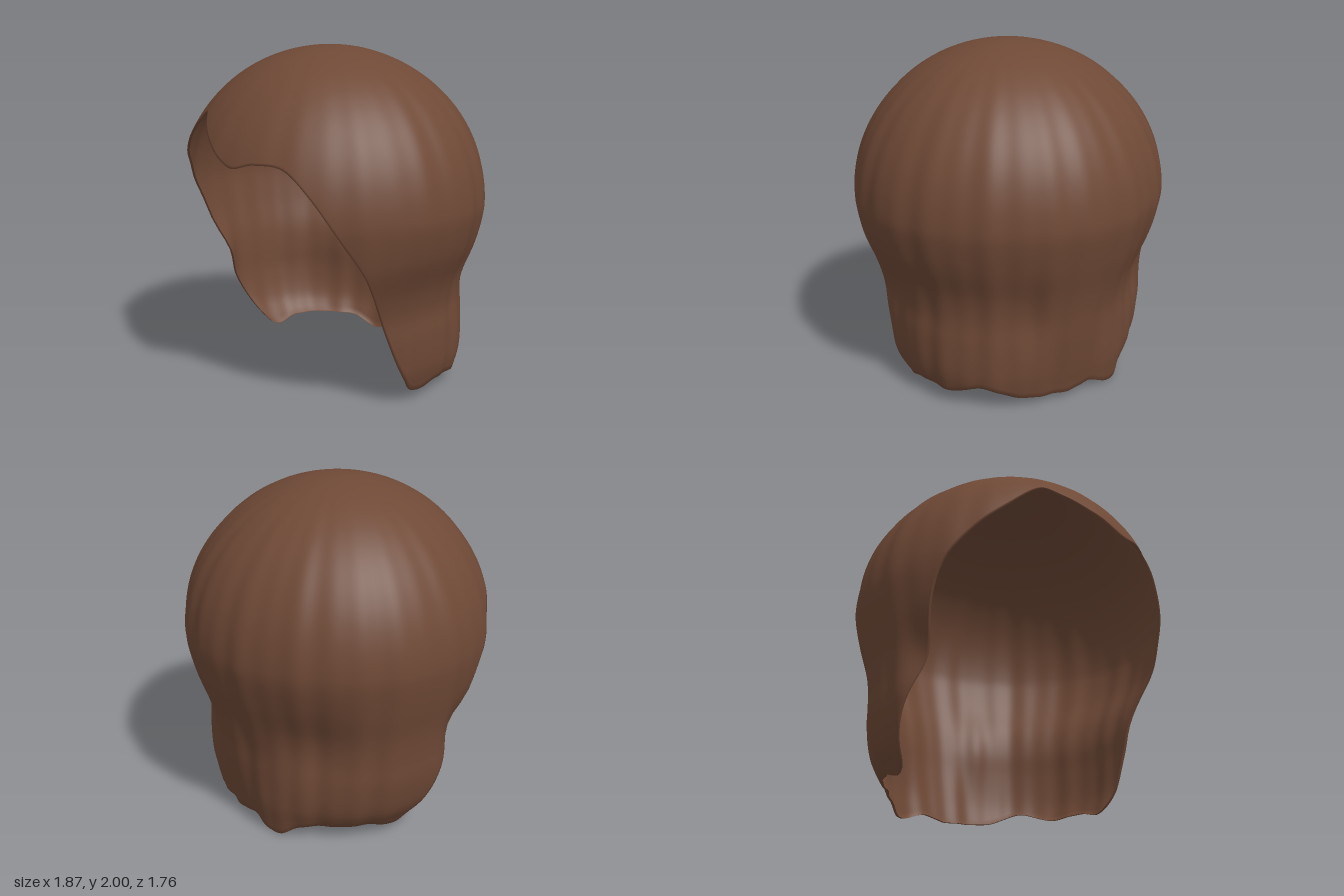
import * as THREE from 'three';

const TAU = Math.PI * 2;
const EQ = 1.1;    // height of the widest ring
const DOME = 0.9;  // dome height above that ring

// Hem height around the head: [degrees from the front towards +x, y]
const HEM = [
  [-180, 0.04], [-167, 0.06], [-151, 0.005], [-139, 0.08], [-124, 0.1], [-106, 0.1], [-89, 0.08],
  [-76, 0.38], [-67, 0.65], [-60, 1.0], [-51, 1.22], [-36, 1.44], [-22, 1.63], [-12, 1.58],
  [0, 1.49], [13, 1.4], [23, 1.43], [35, 1.41], [45, 1.26], [56, 1.0], [62, 0.85],
  [68, 0.65], [75, 0.4], [82, 0.2], [90, 0.07], [105, 0.1], [122, 0.09], [138, 0.14],
  [152, 0.07], [166, 0.05], [180, 0.04],
];

// Radius below the widest ring, in four directions: [y, left, right, back, front]
const SIDES = [
  [0, 0.69, 0.68, 0.66, 0.72], [0.08, 0.72, 0.71, 0.675, 0.74], [0.2, 0.755, 0.79, 0.7, 0.78],
  [0.4, 0.77, 0.84, 0.735, 0.84], [0.55, 0.77, 0.85, 0.755, 0.88], [0.7, 0.805, 0.865, 0.785, 0.91],
  [0.9, 0.89, 0.905, 0.84, 0.94], [1.1, 0.935, 0.935, 0.88, 0.95], [1.3, 0.935, 0.935, 0.88, 0.95],
];

// Hollows between the locks, negative for bulges: [angle, y, angular width, height, depth]
const HOLLOWS = [
  [-1.15, 0.62, 0.14, 0.16, 0.06],
  [-2.3, 0.62, 0.32, 0.26, 0.055],
  [-2.62, 0, 0.2, 0.25, -0.045],
  [2.8, 0.55, 0.13, 0.22, 0.035],
  [-2.8, 0.5, 0.13, 0.22, 0.02],
  [1.15, 0.75, 0.2, 0.2, -0.015],
];

// Smooth interpolation through table rows
function sample(table, x, col) {
  const n = table.length;
  let i = 0;
  while (i < n - 2 && x > table[i + 1][0]) i++;
  const slope = (k) => {
    const a = table[Math.max(k - 1, 0)], b = table[Math.min(k + 1, n - 1)];
    return (b[col] - a[col]) / (b[0] - a[0]);
  };
  const p = table[i], q = table[i + 1], h = q[0] - p[0];
  const t = (x - p[0]) / h, t2 = t * t, t3 = t2 * t;
  return (2 * t3 - 3 * t2 + 1) * p[col] + (t3 - 2 * t2 + t) * h * slope(i)
    + (3 * t2 - 2 * t3) * q[col] + (t3 - t2) * h * slope(i + 1);
}

// Radius of the hair at an angle and height
function radiusAt(a, y) {
  const s = Math.sin(a), c = Math.cos(a), yy = Math.min(y, EQ);
  let r = sample(SIDES, yy, s > 0 ? 1 : 2) * s * s + sample(SIDES, yy, c > 0 ? 4 : 3) * c * c;
  // squarer corners near the hem at the back, rounder ones above
  const low = THREE.MathUtils.smoothstep(0.75 - y, 0, 0.65);
  if (c < 0) r += ((s > 0 ? 0.06 : 0.015) * low - 0.018) * Math.sin(2 * a) ** 2;
  const up = Math.max(0, (y - EQ) / DOME);
  const ring = Math.sqrt(Math.max(0, 1 - up * up));
  r *= ring;
  // combed strands, calm at the front
  const calm = 0.35 + 0.65 * (1 - Math.max(0, c));
  r += ring * ring * calm * (0.0035 * Math.sin(31 * a) + 0.0045 * Math.sin(18 * a + 1));
  for (const [ha, hy, wa, wy, depth] of HOLLOWS) {
    r -= depth * Math.exp(-(((a - ha) / wa) ** 2) - ((y - hy) / wy) ** 2);
  }
  return r;
}

function hairGeometry(cols = 240, rows = 72) {
  const crownShift = 0.04; // the crown sits slightly forward
  const pos = [0, EQ + DOME, crownShift], index = [];
  const rings = rows + 1; // one extra ring turns the hem inwards
  for (let i = 0; i < cols; i++) {
    const a = -Math.PI + (i / cols) * TAU;
    const hem = sample(HEM, THREE.MathUtils.radToDeg(a), 1);
    const up = (hem - EQ) / DOME;
    const length = up > 0 ? Math.acos(up) : Math.PI / 2 - up;
    for (let j = 1; j <= rings; j++) {
      const u = length * Math.min(j / rows, 1);
      const y = u < Math.PI / 2 ? EQ + DOME * Math.cos(u) : EQ - DOME * (u - Math.PI / 2);
      const r = radiusAt(a, y) - (j > rows ? 0.015 : 0);
      const shift = crownShift * Math.max(0, (y - EQ) / DOME) ** 3;
      pos.push(r * Math.sin(a), y, r * Math.cos(a) + shift);
    }
  }
  const at = (i, j) => 1 + (i % cols) * rings + j;
  for (let i = 0; i < cols; i++) {
    index.push(0, at(i, 0), at(i + 1, 0));
    for (let j = 0; j < rings - 1; j++) {
      const p = at(i, j), q = at(i + 1, j);
      index.push(p, p + 1, q, q, p + 1, q + 1);
    }
  }
  const g = new THREE.BufferGeometry();
  g.setAttribute('position', new THREE.Float32BufferAttribute(pos, 3));
  g.setIndex(index);
  g.computeVertexNormals();
  return g;
}

export function createModel() {
  const brown = new THREE.MeshStandardMaterial({ color: 0x6f4936, side: THREE.DoubleSide });
  brown.name = 'chestnut brown';
  const hair = new THREE.Mesh(hairGeometry(), brown);
  hair.name = 'hair';
  const group = new THREE.Group();
  group.name = 'bobHair';
  group.add(hair);
  return group;
}
